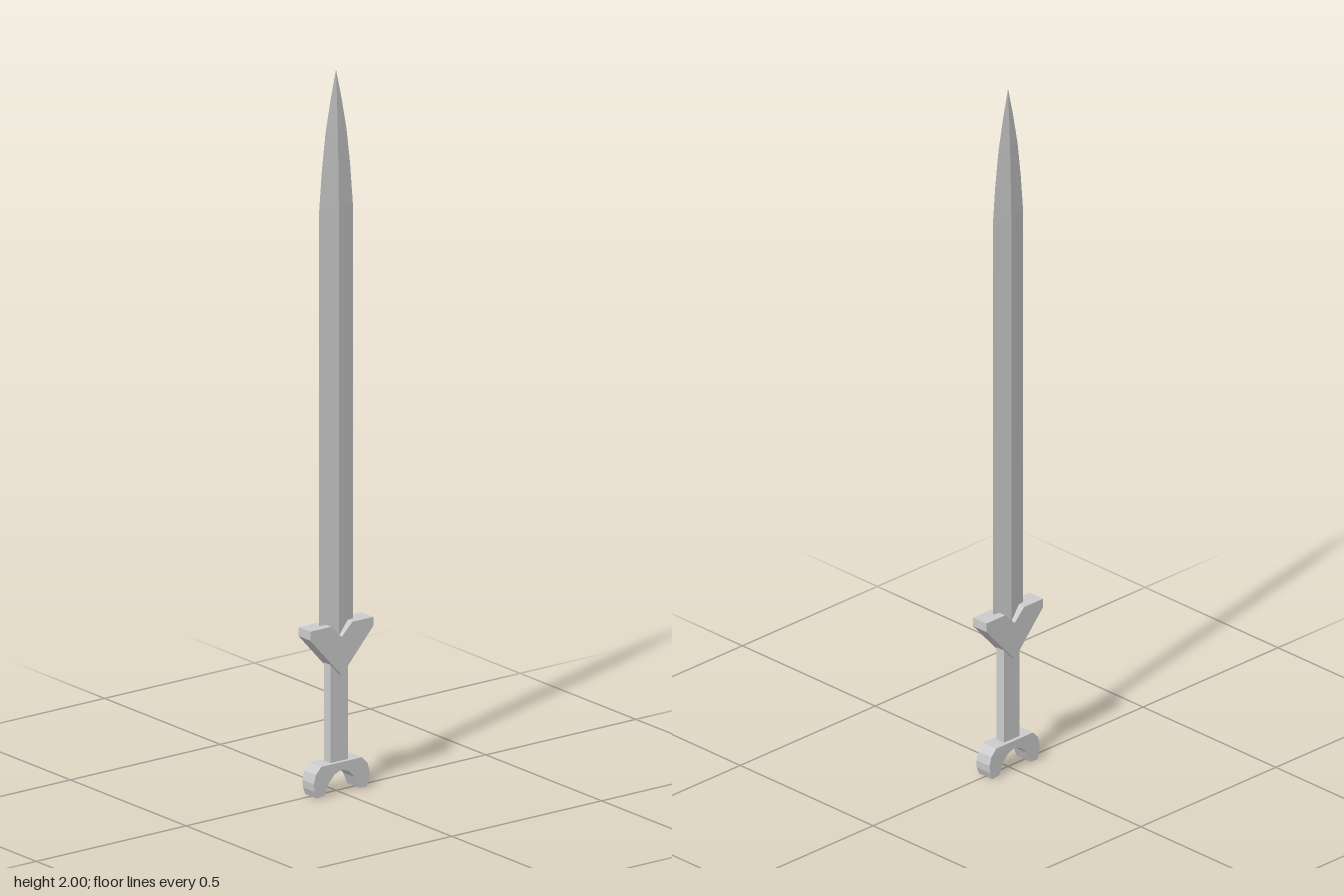
import * as THREE from 'three';

const material = new THREE.MeshStandardMaterial({ color: 0xcccccc, flatShading: true });

function addPart(group, name, geometry) {
  const flat = geometry.index ? geometry.toNonIndexed() : geometry;
  flat.computeVertexNormals();
  const mesh = new THREE.Mesh(flat, material);
  mesh.name = name;
  group.add(mesh);
  return mesh;
}

// Half profile as [z, y] points, mirrored across z = 0 and extruded along x
function plate(half, width) {
  const mirrored = half.filter(([z]) => z > 0).map(([z, y]) => [-z, y]).reverse();
  const shape = new THREE.Shape([...half, ...mirrored].map(([z, y]) => new THREE.Vector2(z, y)));
  return new THREE.ExtrudeGeometry(shape, { depth: width, bevelEnabled: false })
    .translate(0, 0, -width / 2)
    .rotateY(-Math.PI / 2);
}

export function createModel() {
  const sword = new THREE.Group();
  sword.name = 'sword';

  // Blade: diamond section narrowing in a gentle curve to the tip
  const bladeProfile = [[0, 0.41], [0.056, 0.41], [0.056, 1.62], [0.047, 1.73], [0.035, 1.83], [0.018, 1.92], [0, 2]];
  const blade = new THREE.LatheGeometry(bladeProfile.map(([r, y]) => new THREE.Vector2(r, y)), 4);
  blade.scale(0.0125 / 0.056, 1, 1);
  addPart(sword, 'blade', blade);

  // Guard: wedge with a notch that receives the blade
  addPart(sword, 'guard', plate(
    [[0, 0.325], [0.105, 0.442], [0.105, 0.467], [0.035, 0.467], [0, 0.432]], 0.05));

  // Grip: flat bar between the guard and the pommel
  addPart(sword, 'grip', new THREE.BoxGeometry(0.028, 0.32, 0.058).translate(0, 0.23, 0));

  // Pommel: two curled prongs around an open arch
  addPart(sword, 'pommel', plate([
    [0, 0.064], [0.024, 0.055], [0.043, 0.035], [0.057, 0.003], [0.083, 0], [0.091, 0.02],
    [0.093, 0.042], [0.086, 0.066], [0.068, 0.085],
  ], 0.05));

  return sword;
}
